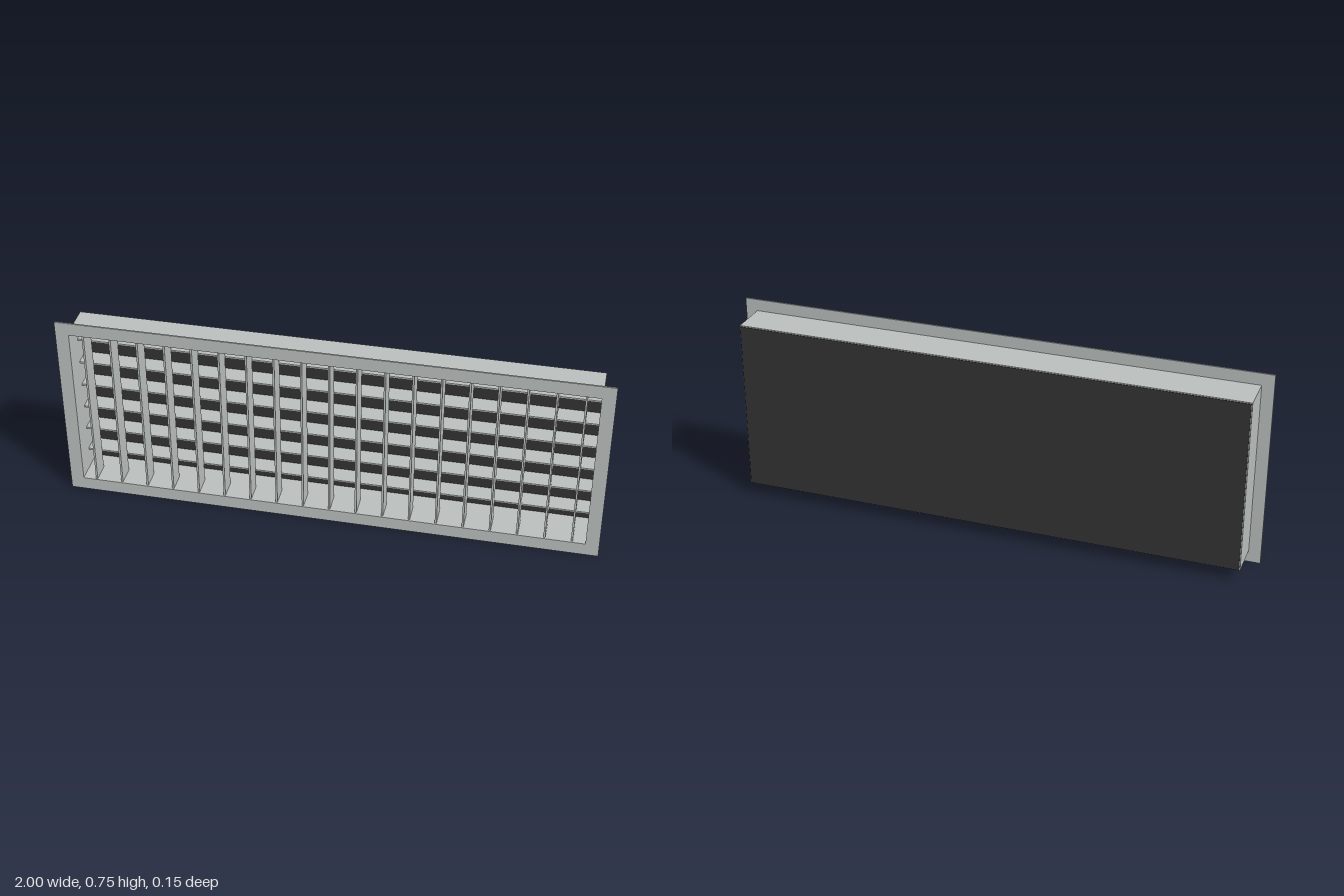
import * as THREE from 'three';

export function createModel() {
  const group = new THREE.Group();
  const metal = new THREE.MeshStandardMaterial({ color: 0xb9bfbd });
  metal.name = 'pale grey metal';
  const dark = new THREE.MeshStandardMaterial({ color: 0x333333 });
  dark.name = 'dark backing';

  const midY = 0.375;
  const blade = 0.007; // sheet thickness of the louvre blades

  function add(name, geometry, material, x, y, z) {
    const mesh = new THREE.Mesh(geometry, material);
    mesh.name = name;
    mesh.position.set(x, y, z);
    group.add(mesh);
  }

  // Rectangular ring of outer size w x h with a hole of size iw x ih
  function ring(w, h, iw, ih, depth) {
    const shape = new THREE.Shape([
      new THREE.Vector2(-w / 2, -h / 2), new THREE.Vector2(w / 2, -h / 2),
      new THREE.Vector2(w / 2, h / 2), new THREE.Vector2(-w / 2, h / 2),
    ]);
    shape.holes.push(new THREE.Path([
      new THREE.Vector2(-iw / 2, -ih / 2), new THREE.Vector2(-iw / 2, ih / 2),
      new THREE.Vector2(iw / 2, ih / 2), new THREE.Vector2(iw / 2, -ih / 2),
    ]));
    return new THREE.ExtrudeGeometry(shape, { depth, bevelEnabled: false });
  }

  // Flat front flange and the duct collar behind it
  add('frontFlange', ring(2, 0.75, 1.9, 0.65, 0.006), metal, 0, midY, 0.071);
  add('collar', ring(1.91, 0.66, 1.9, 0.65, 0.144), metal, 0, midY, -0.073);

  // Vertical blades in the front half
  for (let i = -9; i <= 9; i++) {
    add('verticalBlade', new THREE.BoxGeometry(blade, 0.65, 0.075), metal, i * 0.1, midY, 0.0335);
  }

  // Horizontal blades in the rear half
  for (let i = 0; i < 6; i++) {
    add('horizontalBlade', new THREE.BoxGeometry(1.9, blade, 0.069), metal, 0, 0.128 + i * 0.1, -0.0385);
  }

  // Dark sheet closing the back
  add('backPanel', new THREE.BoxGeometry(1.904, 0.654, 0.002), dark, 0, midY, -0.076);

  return group;
}
